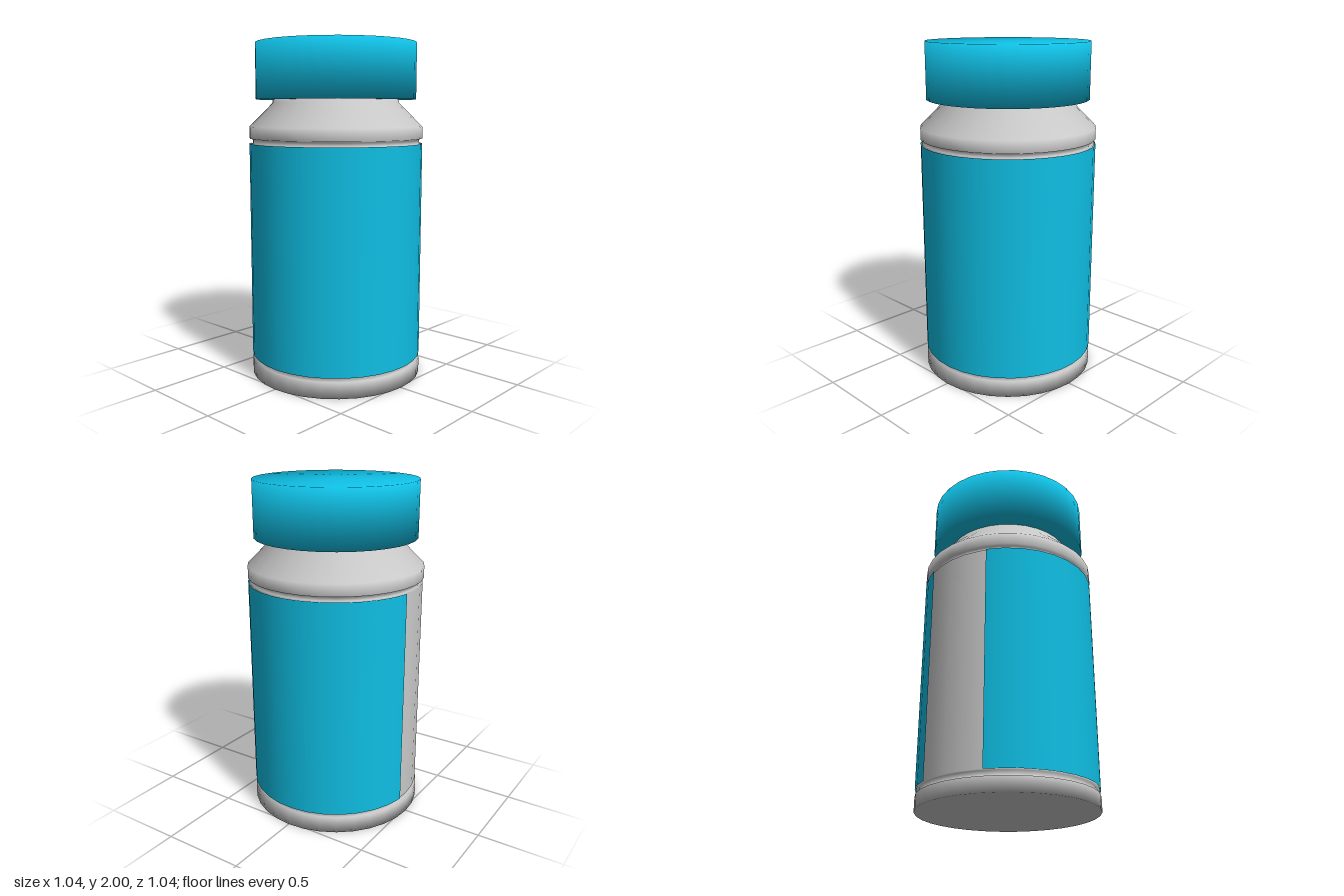
import * as THREE from 'three';

const SEGMENTS = 32;
const rad = THREE.MathUtils.degToRad;

// Revolve a [radius, height] profile; normals stay soft across its corners
function revolve(name, profile, color, segments = SEGMENTS, start = 0, sweep = Math.PI * 2) {
  const points = profile.map(([r, y]) => new THREE.Vector2(r, y));
  const mesh = new THREE.Mesh(
    new THREE.LatheGeometry(points, segments, start, sweep),
    new THREE.MeshStandardMaterial({ color })
  );
  mesh.name = name;
  return mesh;
}

export function createModel() {
  const model = new THREE.Group();
  model.name = 'screwTopBottle';
  const grey = 0xcccccc;
  const blue = 0x0fbee3;

  // Bottle: base rim, groove, body, groove, shoulder and neck
  model.add(revolve('bottle', [
    [0, 0], [0.52, 0], [0.52, 0.085],
    [0.5, 0.09], [0.5, 0.118], [0.514, 0.122],
    [0.514, 1.408], [0.5, 1.412], [0.5, 1.435],
    [0.52, 1.44], [0.52, 1.51],
    [0.38, 1.65], [0.38, 1.75], [0, 1.75]
  ], grey));

  // Wrap-around label, open in a strip at the back
  const label = revolve('label', [[0.52, 0.12], [0.52, 1.41]], blue, 28, rad(217), rad(315));
  label.material.side = THREE.DoubleSide;
  model.add(label);

  // Lid
  model.add(revolve('lid', [[0, 1.67], [0.48, 1.67], [0.48, 2], [0, 2]], blue));

  return model;
}
